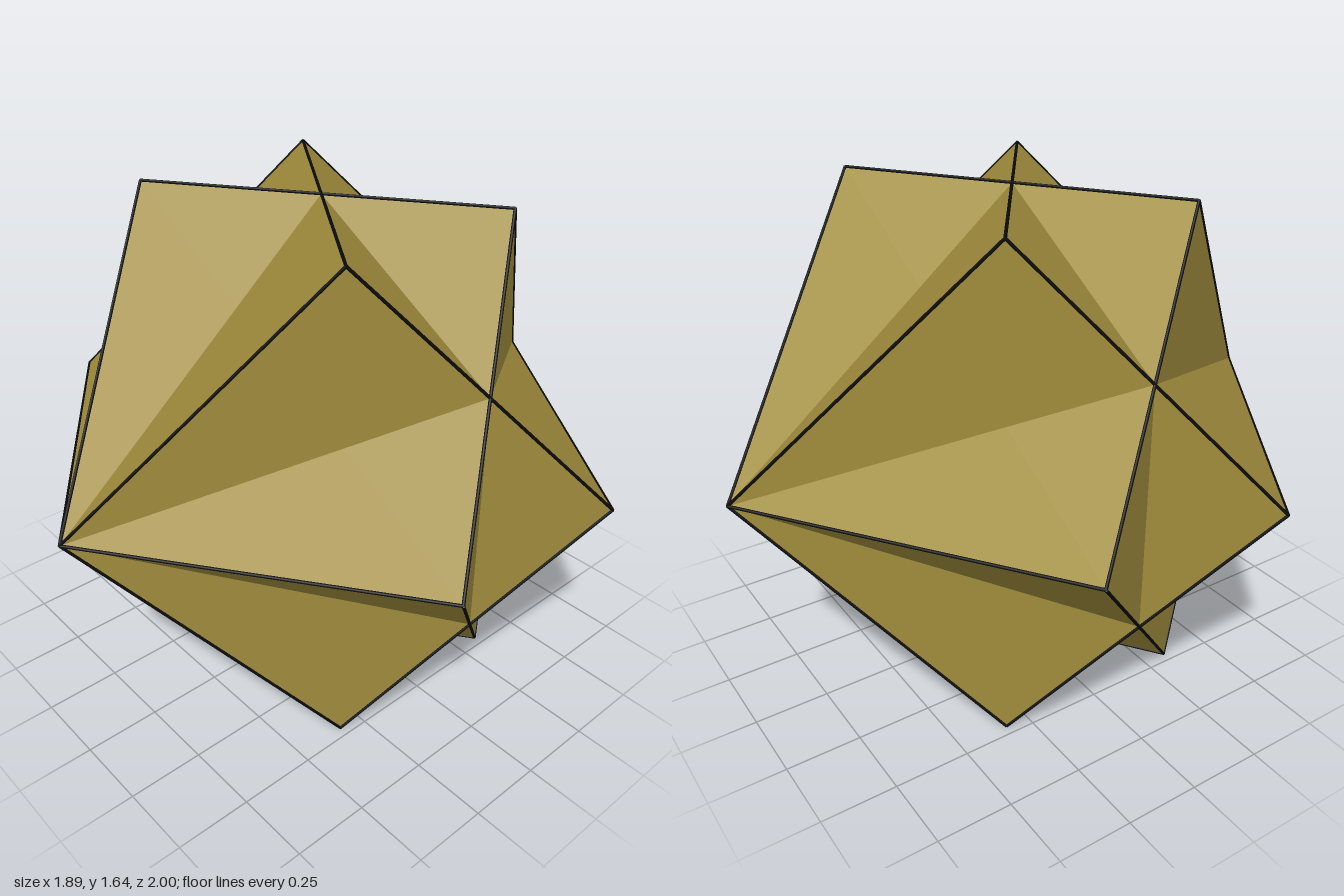
import * as THREE from 'three';

const HALF_DIAGONAL = 0.997;
const SIDE = HALF_DIAGONAL * 2 / Math.sqrt(3);
const EDGE_RADIUS = 0.005;
const CENTRE_Y = 0.8165;

const gold = new THREE.MeshStandardMaterial({ color: 0xa08c3c });
gold.name = 'gold';
const black = new THREE.MeshStandardMaterial({ color: 0x0a0a0a });
black.name = 'black';

// One cube with thin rods along its twelve edges
function framedCube(name) {
  const cube = new THREE.Group();
  cube.name = name;
  const body = new THREE.Mesh(new THREE.BoxGeometry(SIDE, SIDE, SIDE), gold);
  body.name = 'cubeBody';
  cube.add(body);

  const rod = new THREE.CylinderGeometry(EDGE_RADIUS, EDGE_RADIUS, SIDE, 8);
  const h = SIDE / 2;
  for (const axis of ['x', 'y', 'z']) {
    const [u, v] = ['x', 'y', 'z'].filter((a) => a !== axis);
    for (const su of [-h, h]) {
      for (const sv of [-h, h]) {
        const edge = new THREE.Mesh(rod, black);
        edge.name = 'cubeEdge';
        edge.position[u] = su;
        edge.position[v] = sv;
        if (axis === 'x') edge.rotation.z = Math.PI / 2;
        if (axis === 'z') edge.rotation.x = Math.PI / 2;
        cube.add(edge);
      }
    }
  }
  return cube;
}

// Stand the cube's long diagonal along z, turned by the given angle about it
function alignDiagonal(cube, turn) {
  const axes = [0, 1, 2].map((k) => {
    const t = turn + k * Math.PI * 2 / 3;
    const r = Math.sqrt(2 / 3);
    return new THREE.Vector3(r * Math.cos(t), r * Math.sin(t), 1 / Math.sqrt(3));
  });
  cube.quaternion.setFromRotationMatrix(new THREE.Matrix4().makeBasis(...axes));
  cube.position.y = CENTRE_Y;
  return cube;
}

export function createModel() {
  const model = new THREE.Group();
  model.name = 'twoCubeCompound';
  model.add(alignDiagonal(framedCube('firstCube'), 0));
  model.add(alignDiagonal(framedCube('secondCube'), Math.PI / 3));
  return model;
}
